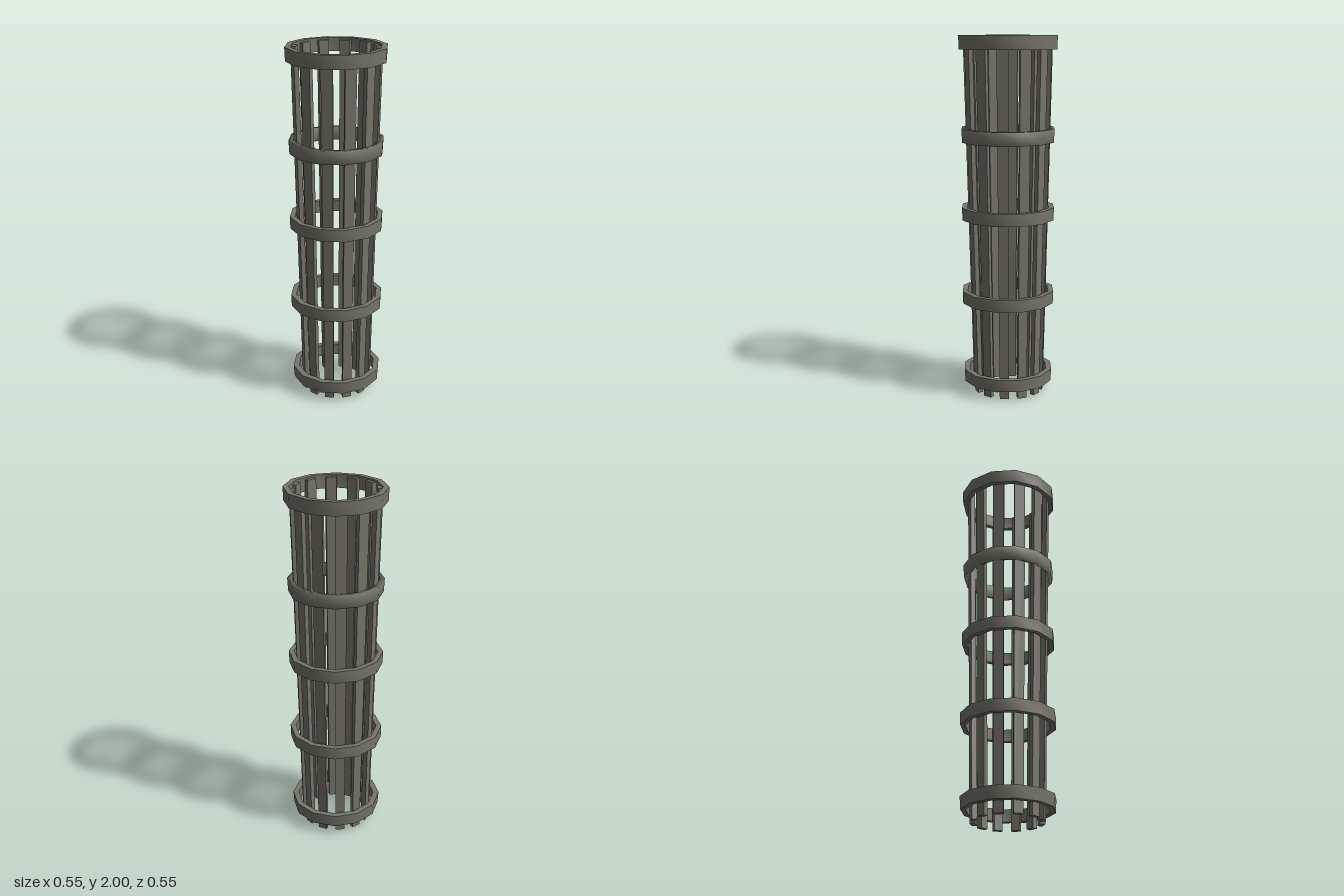
import * as THREE from 'three';
import { mergeVertices, toCreasedNormals } from 'three/addons/utils/BufferGeometryUtils.js';

const weathered = new THREE.MeshStandardMaterial({ color: 0x77766b });
weathered.name = 'weatheredGrey';

// Twelve-sided hoop with a rectangular section; soft hoops have fully smoothed edges
function makeHoop({ y0, y1, inner, bottom, top, soft }) {
  const profile = [[inner, y0], [bottom, y0], [top, y1], [inner, y1], [inner, y0]]
    .map(([x, y]) => new THREE.Vector2(x, y));
  let geo = new THREE.LatheGeometry(profile, 12);
  geo.deleteAttribute('normal');
  geo.deleteAttribute('uv');
  geo = mergeVertices(geo, 1e-4);
  if (soft) geo.computeVertexNormals();
  else geo = toCreasedNormals(geo, Math.PI / 4);
  return new THREE.Mesh(geo, weathered);
}

// Slat filling a 15 degree sector, flaring outwards from foot to rim
function makeSlat(start) {
  const geo = new THREE.BoxGeometry(1, 1, 1);
  const pos = geo.attributes.position;
  for (let i = 0; i < pos.count; i++) {
    const angle = start + (pos.getX(i) + 0.5) * Math.PI / 12;
    const up = pos.getY(i) > 0;
    const outer = pos.getZ(i) > 0;
    const r = up ? (outer ? 0.244 : 0.217) : (outer ? 0.198 : 0.17);
    const lean = up ? 0 : -0.003;
    pos.setXYZ(i, Math.sin(angle) * r + lean, up ? 1.99 : 0, Math.cos(angle) * r + lean);
  }
  geo.computeVertexNormals();
  return new THREE.Mesh(geo, weathered);
}

export function createModel() {
  const model = new THREE.Group();
  model.name = 'slattedBasket';

  // Upright slats, evenly spaced with equal gaps
  const slats = new THREE.Group();
  slats.name = 'slats';
  for (let i = 0; i < 12; i++) {
    const slat = makeSlat(i * Math.PI / 6);
    slat.name = 'slat' + (i + 1);
    slats.add(slat);
  }
  model.add(slats);

  // Binding hoops from foot to rim
  const hoops = {
    footHoop: { y0: 0.06, y1: 0.13, inner: 0.222, bottom: 0.25, top: 0.255 },
    lowerHoop: { y0: 0.52, y1: 0.59, inner: 0.232, bottom: 0.26, top: 0.262 },
    middleHoop: { y0: 0.995, y1: 1.065, inner: 0.233, bottom: 0.26, top: 0.262 },
    upperHoop: { y0: 1.425, y1: 1.5, inner: 0.235, bottom: 0.258, top: 0.262, soft: true },
    rimHoop: { y0: 1.925, y1: 2, inner: 0.244, bottom: 0.272, top: 0.275 },
  };
  for (const [name, spec] of Object.entries(hoops)) {
    const hoop = makeHoop(spec);
    hoop.name = name;
    model.add(hoop);
  }
  return model;
}
